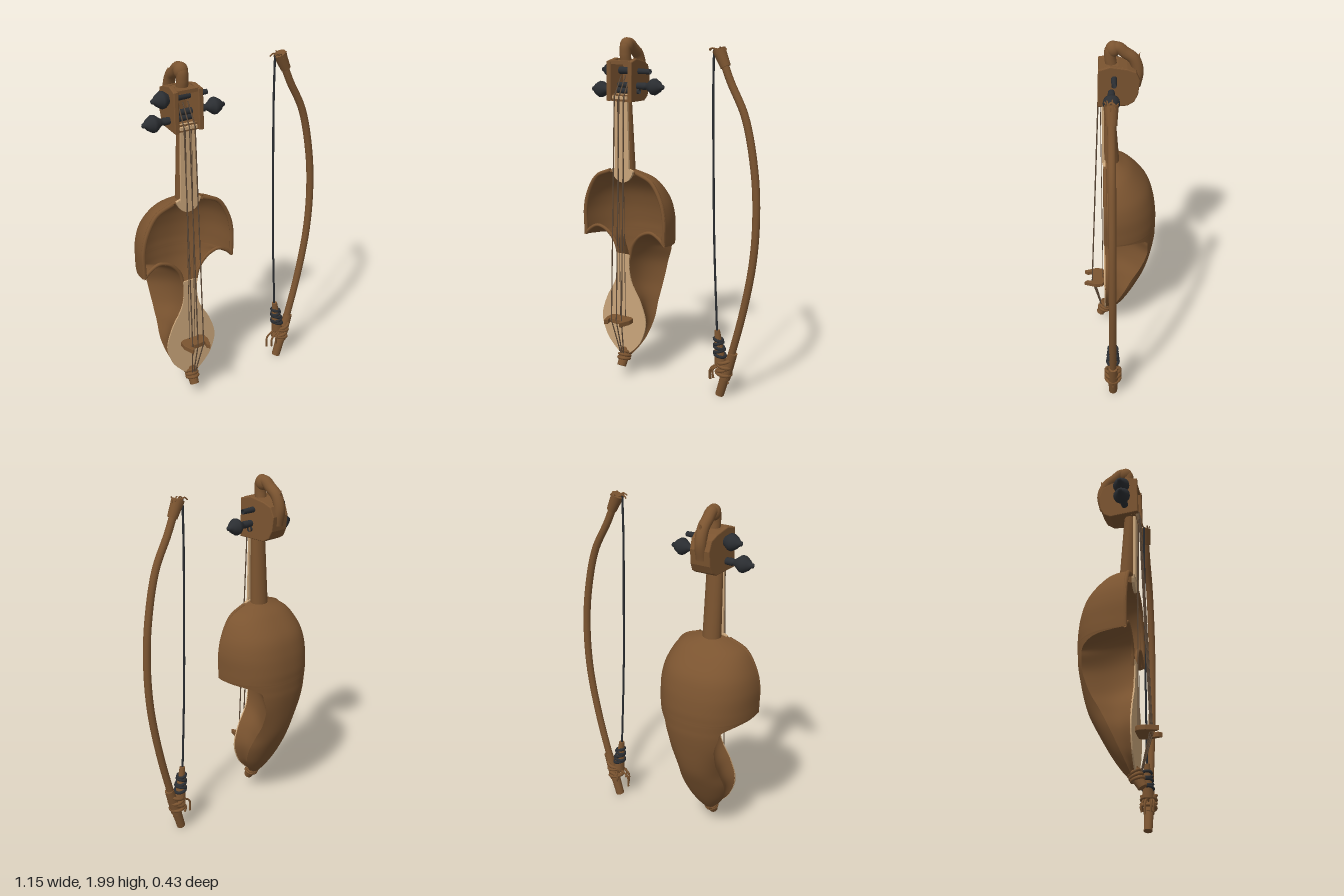
import * as THREE from 'three';
import { ParametricGeometry } from 'three/addons/geometries/ParametricGeometry.js';

const mat = (name, color) => Object.assign(new THREE.MeshStandardMaterial({ color, side: THREE.DoubleSide }), { name });
const V = (x, y, z) => new THREE.Vector3(x, y, z);
const FRONT = 0.09; // plane of the rim and soundboard

// Body rows from top to tail: height, half width, back depth, depth where the side scoop begins
const ROWS = [
  [1.26, 0.03, 0.02, FRONT], [1.245, 0.1, -0.01, FRONT], [1.2, 0.2, -0.08, FRONT], [1.1, 0.262, -0.165, FRONT],
  [1.0, 0.286, -0.2, FRONT], [0.9, 0.286, -0.214, FRONT], [0.845, 0.284, -0.215, FRONT], [0.832, 0.282, -0.215, 0.02],
  [0.82, 0.28, -0.215, -0.09], [0.79, 0.275, -0.214, -0.155], [0.74, 0.268, -0.212, -0.165], [0.66, 0.25, -0.2, -0.163],
  [0.55, 0.2, -0.178, -0.125], [0.46, 0.172, -0.15, -0.075], [0.36, 0.165, -0.1, -0.025], [0.26, 0.13, -0.045, 0.02],
  [0.19, 0.085, 0, 0.05], [0.14, 0.04, 0.04, 0.07], [0.12, 0.02, 0.07, 0.08],
];
const TIP = 6; // row where the bowl's hanging points end
// Front edge of the scoop, one point for each row from TIP down
const EDGE = [[0.284, 0.838], [0.245, 0.875], [0.19, 0.9], [0.12, 0.875], [0.065, 0.81], [0.042, 0.72], [0.055, 0.6],
  [0.12, 0.48], [0.155, 0.36], [0.125, 0.25], [0.075, 0.185], [0.03, 0.145], [0.015, 0.125]];
const spline = (pts) => new THREE.CatmullRomCurve3(pts, false, 'catmullrom', 0.5);
const rowCurve = spline(ROWS.map((r) => V(r[1], r[0], r[2])));
const cutCurve = spline(ROWS.map((r) => V(r[3], 0, 0)));
const edgeCurve = spline(EDGE.map(([x, y]) => V(x, y, FRONT)));

// Point on the rounded back; side runs from -1 to 1 across it
function shellPoint(t, side, out) {
  const r = rowCurve.getPoint(t), cut = Math.min(cutCurve.getPoint(t).x, FRONT);
  const depth = FRONT - r.z, k = Math.max(0, (FRONT - cut) / depth);
  const end = Math.acos(Math.min(1, Math.pow(k, 1.15)));
  const a = Math.abs(side) * end;
  return out.set(Math.sign(side) * r.x * Math.pow(Math.sin(a), 1 / 1.15), r.y,
    FRONT - depth * Math.pow(Math.max(0, Math.cos(a)), 1 / 1.15));
}

function surface(fn, nu, nv) {
  const g = new ParametricGeometry(fn, nu, nv);
  g.computeVertexNormals();
  return g;
}

function warp(g, rule) {
  const p = g.attributes.position, v = V(0, 0, 0);
  for (let i = 0; i < p.count; i++) {
    rule(v.fromBufferAttribute(p, i));
    p.setXYZ(i, v.x, v.y, v.z);
  }
  g.computeVertexNormals();
  return g;
}

const shapeOf = (pts) => new THREE.Shape(pts.map(([x, y]) => new THREE.Vector2(x, y)));
const extrude = (shape, depth, bevel = 0) => new THREE.ExtrudeGeometry(shape, {
  depth, bevelEnabled: bevel > 0, bevelSize: bevel, bevelThickness: bevel, bevelSegments: 3, curveSegments: 12 });
const tube = (pts, r, n = 40, sides = 8) =>
  new THREE.TubeGeometry(new THREE.CatmullRomCurve3(pts.map((p) => V(...p))), n, r, sides);
const lathe = (pts, n = 16) => new THREE.LatheGeometry(pts.map(([r, y]) => new THREE.Vector2(r, y)), n);

export function createModel() {
  const model = new THREE.Group();
  model.name = 'fiddleAndBow';
  const wood = mat('brownWood', 0x7b5430), pale = mat('paleSkin', 0xc9a57a);
  const black = mat('blackWood', 0x2b2e32), gut = mat('stringGut', 0x5e4a38);
  const fiddle = new THREE.Group(), bow = new THREE.Group();
  fiddle.name = 'fiddle';
  bow.name = 'bow';
  fiddle.position.x = -0.288;
  model.add(fiddle, bow);
  const add = (parent, name, g, m) => {
    const mesh = new THREE.Mesh(g, m);
    mesh.name = name;
    parent.add(mesh);
    return mesh;
  };
  const rod = (parent, name, a, b, r0, r1, m, sides = 8) => {
    const d = V(...b).sub(V(...a));
    const mesh = add(parent, name, new THREE.CylinderGeometry(r1, r0, d.length(), sides), m);
    mesh.position.set(...a).addScaledVector(d, 0.5);
    mesh.quaternion.setFromUnitVectors(V(0, 1, 0), d.normalize());
    return mesh;
  };

  // Hollow body: rounded back, plus a concave scoop on each side
  add(fiddle, 'bodyBack', surface((u, v, out) => shellPoint(v, u * 2 - 1, out), 40, 108), wood);
  const last = ROWS.length - 1, back = V(0, 0, 0);
  for (const s of [-1, 1]) {
    add(fiddle, 'sideScoop', surface((u, v, out) => {
      shellPoint((TIP + v * (last - TIP)) / last, s, back);
      const f = edgeCurve.getPoint(v);
      out.set(s * f.x, f.y, f.z).lerp(back, u);
      out.x -= s * 0.03 * Math.sin(Math.PI * u) * Math.sin(Math.PI * v);
    }, 12, 72), wood);
    const rim = ROWS.slice(1, TIP).map((r) => [s * (r[1] - 0.01), r[0], FRONT - 0.007]);
    add(fiddle, 'bowlRim', tube(rim.concat([[s * 0.274, 0.848, FRONT - 0.007]]), 0.012), wood);
    add(fiddle, 'scoopRim', tube(EDGE.slice(0, 6).map(([x, y]) => [s * (x - 0.005), y + 0.006, FRONT - 0.006]), 0.01), wood);
  }

  // Skin over the lower body
  const half = [];
  for (let i = 0; i <= 60; i++) {
    const p = edgeCurve.getPoint(i / 60);
    if (p.y < 0.775 && i > 20) half.push([p.x, p.y]);
  }
  const skinShape = shapeOf([...half, ...half.slice().reverse().map(([x, y]) => [-x, y])]);
  add(fiddle, 'soundboard', extrude(skinShape, 0.008), pale).position.z = FRONT - 0.002;

  // Neck, fingerboard and its shield-shaped foot
  add(fiddle, 'neck', warp(new THREE.CylinderGeometry(1, 1, 1, 16), (v) => {
    const t = v.y + 0.5;
    v.set(v.x * (0.054 - 0.008 * t), 1.22 + 0.45 * t, 0.046 + 0.018 * t + v.z * (0.047 - 0.014 * t));
  }), wood);
  add(fiddle, 'fingerboard', extrude(shapeOf([[-0.05, 1.25], [0.05, 1.25], [0.042, 1.69], [-0.042, 1.69]]), 0.012), pale).position.z = 0.087;
  const foot = new THREE.Shape();
  foot.moveTo(-0.075, 1.255);
  foot.bezierCurveTo(-0.05, 1.16, 0.05, 1.16, 0.075, 1.255);
  foot.quadraticCurveTo(0, 1.29, -0.075, 1.255);
  add(fiddle, 'fingerboardFoot', extrude(foot, 0.016), pale).position.z = 0.08;
  add(fiddle, 'nut', new THREE.BoxGeometry(0.1, 0.016, 0.03), pale).position.set(0, 1.67, 0.1);

  // Pegbox: side profiles stacked across x, narrowing toward the back
  const sideOn = (pts, x0, x1, bevel) => {
    const g = extrude(shapeOf(pts), x1 - x0 - 2 * bevel, bevel);
    g.rotateY(-Math.PI / 2).translate(x1 - bevel, 0, 0);
    return warp(g, (v) => { v.x *= 1 - (0.12 - v.z) * 1.5; });
  };
  const cheek = [[0.115, 1.655], [0.11, 1.865], [0.05, 1.88], [-0.04, 1.86], [-0.085, 1.84], [-0.105, 1.79], [-0.095, 1.71], [-0.075, 1.67], [-0.04, 1.65]];
  const inner = [[0.0, 1.655], [0.0, 1.87], [-0.04, 1.86], [-0.085, 1.84], [-0.105, 1.79], [-0.095, 1.71], [-0.075, 1.67], [-0.04, 1.65]];
  add(fiddle, 'pegboxCheek', sideOn(cheek, -0.087, -0.058, 0.006), wood);
  add(fiddle, 'pegboxCheek', sideOn(cheek, 0.058, 0.087, 0.006), wood);
  add(fiddle, 'pegboxBack', sideOn(inner, -0.075, 0.075, 0.006), wood);
  add(fiddle, 'pegboxTop', new THREE.BoxGeometry(0.13, 0.02, 0.11), wood).position.set(0, 1.864, 0.054);
  add(fiddle, 'pegboxFloor', new THREE.BoxGeometry(0.125, 0.04, 0.1), wood).position.set(0, 1.667, 0.05);

  // Crook curling forward over the pegbox
  add(fiddle, 'scrollNeck', tube([[0, 1.74, -0.085], [0, 1.83, -0.1], [0, 1.9, -0.075], [0, 1.935, -0.03], [0, 1.965, 0.01],
    [0, 1.955, 0.045], [0, 1.91, 0.05], [0, 1.87, 0.045]], 0.032, 40, 14), wood);
  const head = add(fiddle, 'scrollHead', new THREE.SphereGeometry(0.038, 18, 14), wood);
  head.position.set(0, 1.955, 0.035);
  head.scale.set(1, 1.18, 1.05);
  const crest = add(fiddle, 'scrollCrest', new THREE.ConeGeometry(0.022, 0.06, 10), wood);
  crest.position.set(0, 1.905, -0.1);
  crest.rotation.x = -0.4;

  // Tuning pegs
  const pegPts = [[0.014, -0.16], [0.019, 0], [0.021, 0.045], [0.016, 0.05], [0.022, 0.065], [0.045, 0.095], [0.047, 0.112],
    [0.03, 0.14], [0.014, 0.155], [0.012, 0.165], [0, 0.172]];
  for (const [s, x, y, z] of [[-1, 0.005, 1.815, 0.03], [-1, 0.068, 1.703, 0.045], [1, 0.085, 1.735, 0.045]]) {
    const peg = add(fiddle, 'tuningPeg', lathe(pegPts), black);
    peg.position.set(s * x, y, z);
    peg.rotation.z = -s * Math.PI / 2;
  }

  // Horned bridge standing off the skin
  const bridge = extrude(shapeOf([[-0.05, 0.095], [0.05, 0.095], [0.072, 0.11], [0.075, 0.15], [0.055, 0.215], [0.043, 0.2],
    [0.05, 0.165], [0.02, 0.17], [-0.02, 0.17], [-0.05, 0.165], [-0.043, 0.2], [-0.055, 0.215], [-0.075, 0.15], [-0.072, 0.11]]), 0.022, 0.003);
  bridge.rotateX(Math.PI / 2);
  add(fiddle, 'bridge', bridge, wood).position.y = 0.377;

  // Strings: tail to bridge, bridge to nut, nut to pegs
  for (const x of [-0.035, 0, 0.037]) {
    const pts = [[x * 0.25, 0.14, 0.115], [x, 0.368, 0.172], [x * 0.9, 1.675, 0.117], [x * 0.8, 1.79, 0.05]];
    for (let i = 0; i < 3; i++) rod(fiddle, 'string', pts[i], pts[i + 1], 0.0035, 0.0035, gut, 6);
  }
  for (const x of [-0.018, 0.018]) rod(fiddle, 'lowerString', [x, 0.36, 0.104], [x, 1.68, 0.106], 0.002, 0.002, gut, 5);

  // Tail pin and its lashing
  rod(fiddle, 'tailPin', [0, 0.17, 0.07], [0, 0.075, 0.125], 0.034, 0.026, wood, 12);
  for (let i = 0; i < 3; i++) {
    const ring = add(fiddle, 'tailLashing', new THREE.TorusGeometry(0.033, 0.009, 8, 18), wood);
    ring.position.set(0, 0.15 - i * 0.017, 0.083 + i * 0.008);
    ring.rotation.x = 1.05 + i * 0.12;
  }

  // Bow stick
  const Z = 0.047;
  add(bow, 'bowStick', tube([[0.33, 1.92, Z], [0.385, 1.79, Z], [0.475, 1.61, Z], [0.535, 1.34, Z], [0.553, 1.1, Z], [0.54, 0.84, Z],
    [0.488, 0.55, Z], [0.41, 0.25, Z], [0.36, 0.09, Z]], 0.021, 80, 12), wood);
  rod(bow, 'bowHandle', [0.342, 0.012, Z], [0.385, 0.16, Z], 0.025, 0.028, wood, 14);
  rod(bow, 'bowSleeve', [0.375, 0.12, Z], [0.425, 0.28, Z], 0.032, 0.026, wood, 14);
  rod(bow, 'bowTip', [0.355, 1.865, Z], [0.312, 1.955, Z], 0.028, 0.036, wood, 12);

  // Bow hair
  const hair = [[0.283, 1.95, Z], [0.281, 1.7, Z], [0.287, 1.35, Z], [0.297, 0.9, Z], [0.322, 0.36, Z]];
  add(bow, 'bowHair', tube(hair, 0.006, 40, 6), black);
  add(bow, 'hairTie', tube([[0.32, 1.93, Z + 0.03], [0.29, 1.955, Z], [0.32, 1.94, Z - 0.03]], 0.006, 16, 6), wood);

  // Lashed hair knot and bindings by the handle
  rod(bow, 'hairKnot', [0.345, 0.2, Z], [0.322, 0.395, Z], 0.034, 0.016, wood, 10);
  for (let i = 0; i < 5; i++) {
    const wrap = add(bow, 'knotWrap', new THREE.TorusGeometry(0.032 - i * 0.002, 0.009, 7, 16), black);
    wrap.position.set(0.342 - i * 0.003, 0.255 + i * 0.022, Z);
    wrap.rotation.set(Math.PI / 2, (i % 2 ? 0.3 : -0.25), 0);
  }
  for (let i = 0; i < 4; i++) {
    const bind = add(bow, 'handleBinding', new THREE.TorusGeometry(0.042, 0.01, 7, 18), wood);
    bind.position.set(0.367 + i * 0.004, 0.15 + i * 0.024, Z);
    bind.rotation.set(Math.PI / 2, (i % 2 ? 0.35 : -0.2), 0);
  }

  // Loose cord ends at both ends of the bow
  for (let i = 0; i < 7; i++) {
    const a = i * 2.4, c = Math.cos(a), s = Math.sin(a);
    add(bow, 'cordEnd', tube([[0.355, 0.2, Z + s * 0.025], [0.33 + c * 0.05, 0.17 - 0.01 * (i % 3), Z + s * 0.04],
      [0.335 + c * 0.06, 0.09 + 0.015 * (i % 4), Z + s * 0.035]], 0.006, 12, 6), wood);
    add(bow, 'tipCord', tube([[0.32, 1.93, Z + s * 0.02], [0.31 + c * 0.035, 1.96, Z + s * 0.03],
      [0.305 + c * 0.052, 1.945 + 0.008 * (i % 4), Z + s * 0.035]], 0.004, 10, 5), wood);
  }
  return model;
}
